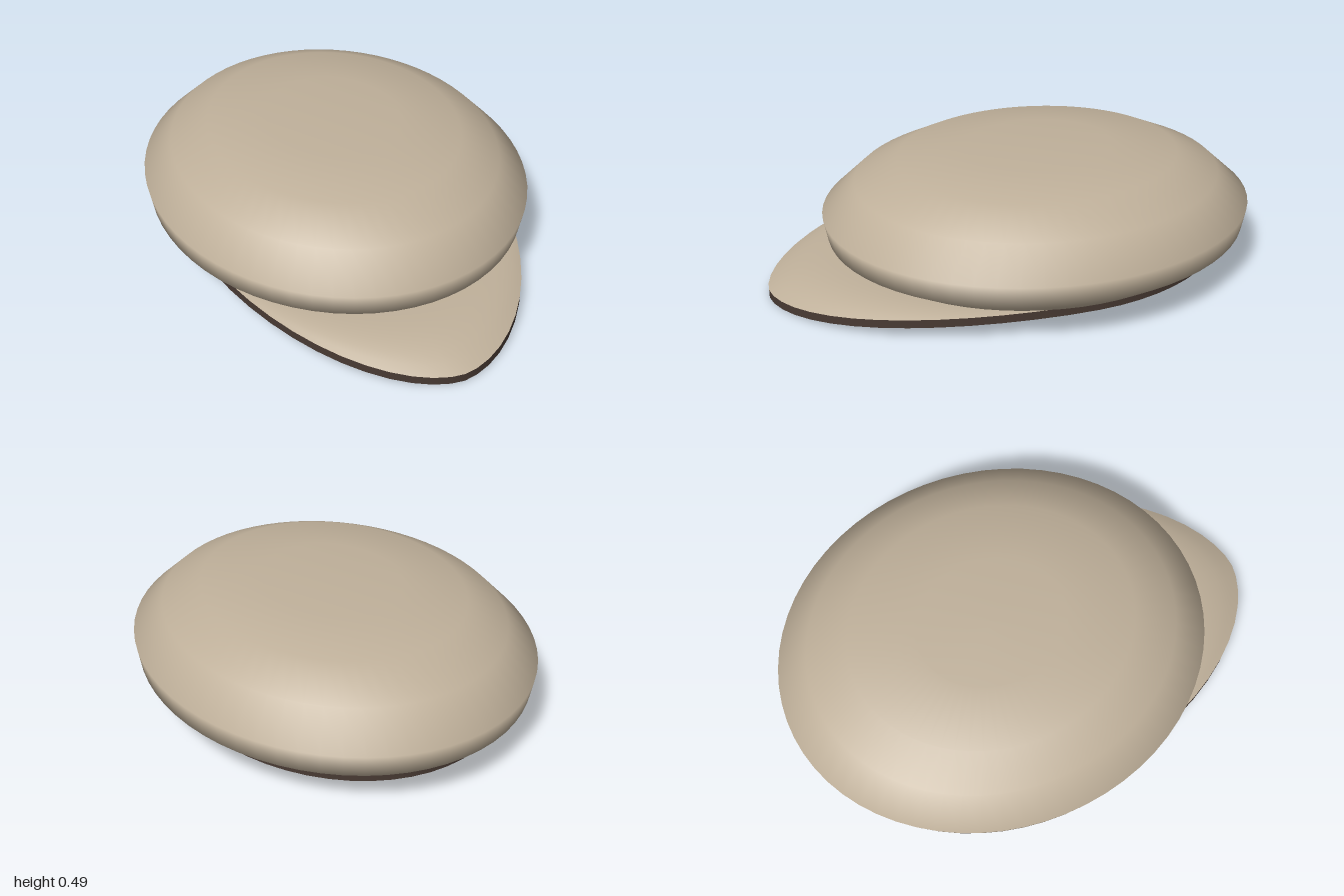
import * as THREE from 'three';

const CZ = -0.12; // centre of the crown along z
const SEG = 56;

const cloth = new THREE.MeshStandardMaterial({ color: 0xbfb09a, side: THREE.DoubleSide });
cloth.name = 'beige cloth';
const leather = new THREE.MeshStandardMaterial({ color: 0x483a33, side: THREE.DoubleSide });
leather.name = 'dark brown trim';

// Smooth surface through closed loops of points
function loft(rows) {
  const pos = [], index = [], n = rows[0].length;
  rows.forEach(row => row.forEach(p => pos.push(...p)));
  for (let i = 0; i < rows.length - 1; i++) {
    for (let j = 0; j < n; j++) {
      const k = (j + 1) % n;
      const a = i * n + j, b = i * n + k, c = a + n, d = b + n;
      index.push(a, b, c, b, d, c);
    }
  }
  const g = new THREE.BufferGeometry();
  g.setAttribute('position', new THREE.Float32BufferAttribute(pos, 3));
  g.setIndex(index);
  g.computeVertexNormals();
  return g;
}

// Loop of the brim at t = 0 (head opening) to 1 (outer edge), curving down to the peak
function brimLoop(t, y) {
  return Array.from({ length: SEG }, (_, j) => {
    const a = (j / SEG) * Math.PI * 2, c = Math.cos(a), s = Math.sin(a);
    const front = s > 0;
    const ox = 0.65 * Math.sign(c) * Math.pow(Math.abs(c), front ? 1.15 : 1);
    const oz = CZ + s * (front ? 1.12 : 0.775);
    const ix = 0.615 * c, iz = CZ + 0.72 * s;
    const drop = 0.074 * Math.max(oz, 0) ** 2 * t ** 3;
    return [ix + (ox - ix) * t, y - drop, iz + (oz - iz) * t];
  });
}

export function createModel() {
  const group = new THREE.Group();
  const add = (name, geometry, material, parent = group) => {
    const m = new THREE.Mesh(geometry, material);
    m.name = name;
    parent.add(m);
    return m;
  };

  // Crown: open puffed dome, longer than wide
  const profile = [[0.65, 0.1], [0.75, 0.17], [0.765, 0.26], [0.65, 0.38], [0.5, 0.46], [0.265, 0.49], [0, 0.49]]
    .map(([x, y]) => new THREE.Vector2(x, y));
  const crown = add('crown', new THREE.LatheGeometry(profile, 64), cloth);
  crown.scale.z = 1.15;
  crown.position.z = CZ;

  // Brim: ring under the crown with a peak at the front
  const brim = new THREE.Group();
  brim.name = 'brim';
  group.add(brim);
  const TOP = 0.108, BOTTOM = 0.075;
  const steps = Array.from({ length: 9 }, (_, i) => i / 8);
  add('brimTop', loft(steps.map(t => brimLoop(t, TOP))), cloth, brim);
  add('brimUnderside', loft([...steps].reverse().map(t => brimLoop(t, BOTTOM))), cloth, brim);
  add('brimInnerEdge', loft([brimLoop(0, BOTTOM), brimLoop(0, TOP)]), cloth, brim);
  add('brimOuterEdge', loft([brimLoop(1, TOP), brimLoop(1, BOTTOM)]), leather, brim);

  // Sweatband: inner strip standing on the head opening
  const band = add('sweatband', new THREE.CylinderGeometry(0.615, 0.615, 0.07, SEG, 1, true), leather);
  band.scale.z = 0.72 / 0.615;
  band.position.set(0, 0.143, CZ);

  return group;
}
